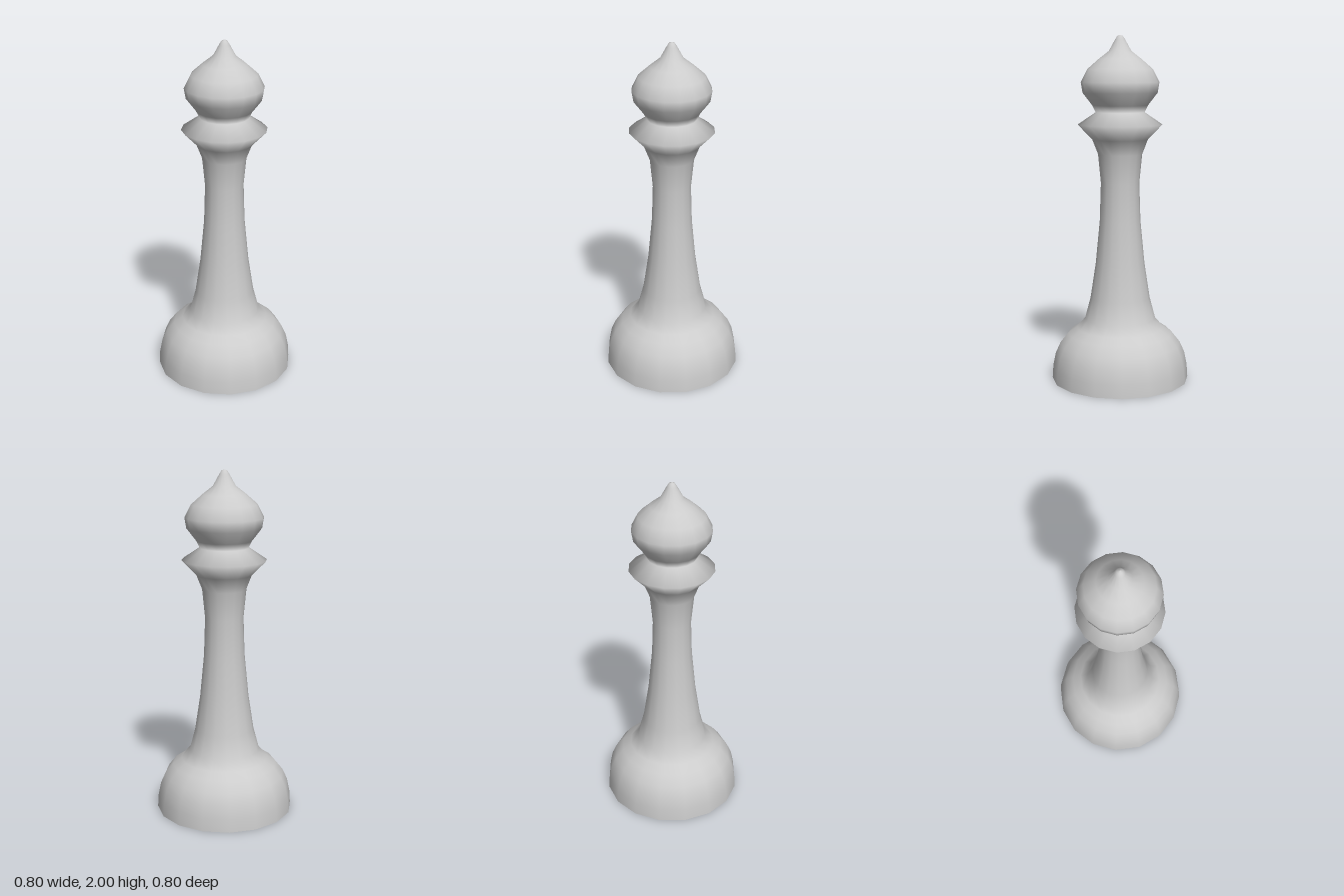
import * as THREE from 'three';
import { mergeVertices } from 'three/addons/utils/BufferGeometryUtils.js';

const SIDES = 16;

// Profile [radius, height] of each turned part, bottom to top;
// each part starts where the one below it ends.
const PARTS = {
  base: [[0.4, 0], [0.395, 0.075], [0.38, 0.15], [0.352, 0.213], [0.305, 0.272], [0.254, 0.307], [0.206, 0.36]],
  shaft: [[0.173, 0.485], [0.142, 0.69], [0.118, 0.94], [0.111, 1.16], [0.127, 1.325]],
  collar: [[0.16, 1.41], [0.243, 1.495], [0.14, 1.565]],
  finial: [[0.16, 1.605], [0.214, 1.675], [0.224, 1.735], [0.187, 1.808], [0.122, 1.865], [0.064, 1.91], [0.029, 1.973], [0.016, 1.994], [0, 2]],
};

export function createModel() {
  const group = new THREE.Group();
  group.name = 'turnedChessPiece';
  // Open underneath, so the hollow inside shows
  const material = new THREE.MeshStandardMaterial({ color: 0xcccccc, side: THREE.DoubleSide });

  // One continuous lathe gives smooth normals across the part boundaries
  const profile = Object.values(PARTS).flat().map(([r, y]) => new THREE.Vector2(r, y));
  const lathe = new THREE.LatheGeometry(profile, SIDES);
  const index = Array.from(lathe.index.array);
  const rows = profile.length;

  // Cut the lathe into its named parts by profile row
  let start = 0;
  for (const [name, points] of Object.entries(PARTS)) {
    const end = start === 0 ? points.length - 1 : start + points.length;
    const faces = [];
    for (let i = 0; i < index.length; i += 3) {
      const tri = index.slice(i, i + 3);
      const row = Math.min(...tri.map((v) => v % rows));
      if (row >= start && row < end) faces.push(...tri);
    }
    const part = lathe.clone();
    part.setIndex(faces);
    const mesh = new THREE.Mesh(mergeVertices(part.toNonIndexed()), material);
    mesh.name = name;
    group.add(mesh);
    start = end;
  }
  return group;
}
